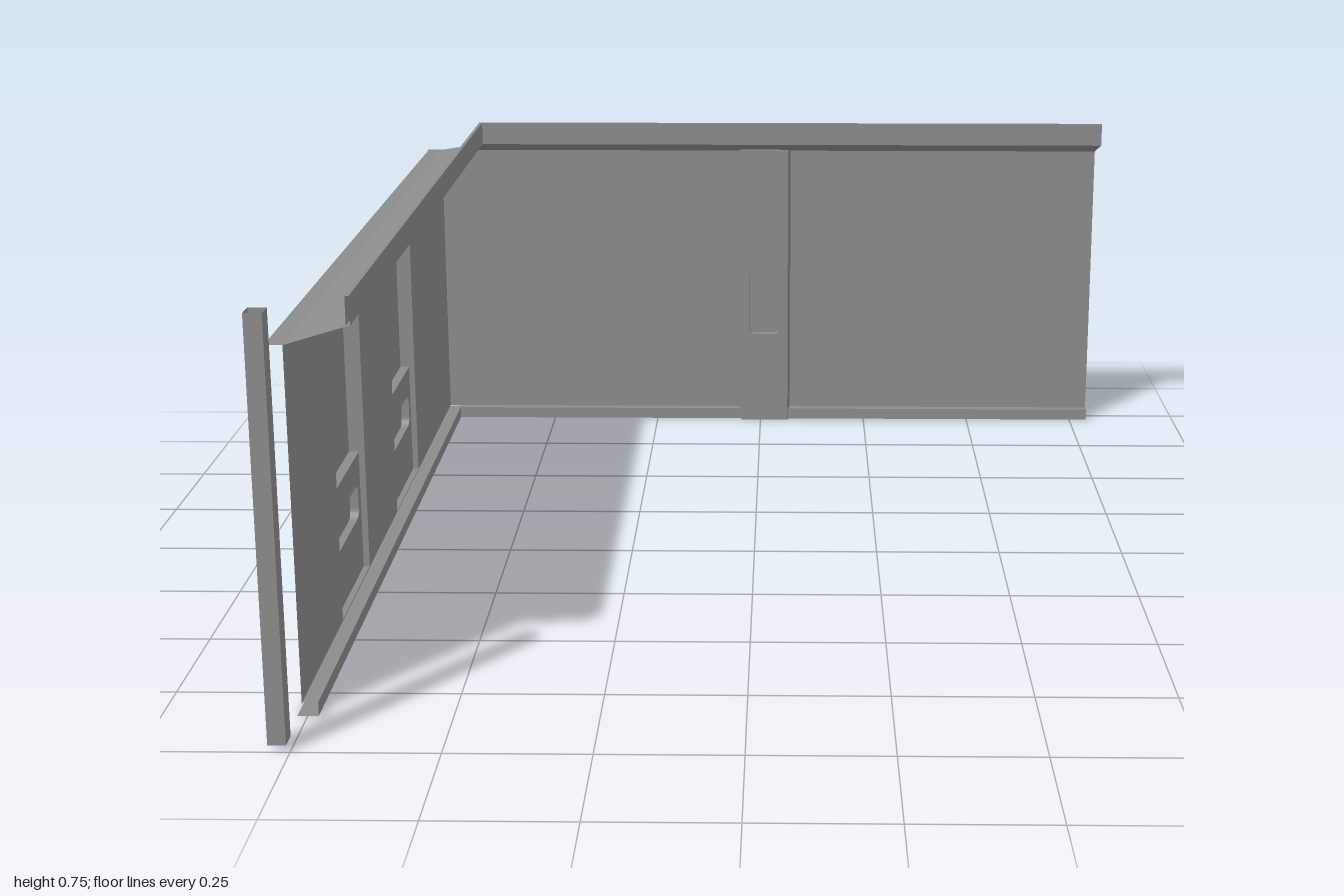
import * as THREE from 'three';

const grey = new THREE.MeshStandardMaterial({ color: 0x8c8c8c, side: THREE.DoubleSide });
grey.name = 'panelGrey';

function add(group, name, geometry) {
  const mesh = new THREE.Mesh(geometry, grey);
  mesh.name = name;
  group.add(mesh);
  return mesh;
}

// Flat-faced sheet stretched between two matching rows of points [u, v, w]
function sheet(group, name, a, b) {
  const pos = [];
  for (let i = 0; i < a.length - 1; i++) {
    pos.push(...a[i], ...b[i], ...b[i + 1], ...a[i], ...b[i + 1], ...a[i + 1]);
  }
  const g = new THREE.BufferGeometry();
  g.setAttribute('position', new THREE.Float32BufferAttribute(pos, 3));
  g.computeVertexNormals();
  return add(group, name, g);
}

// Profile of [v, w] points run along u
function run(group, name, profile, u0, u1) {
  return sheet(group, name, profile.map(([v, w]) => [u0, v, w]), profile.map(([v, w]) => [u1, v, w]));
}

// Rounded rectangle outline; r = 0 gives square corners
function outline(u0, v0, u1, v1, r = 0) {
  const s = new THREE.Shape();
  if (!r) {
    s.moveTo(u0, v0).lineTo(u1, v0).lineTo(u1, v1).lineTo(u0, v1).closePath();
    return s;
  }
  s.absarc(u1 - r, v0 + r, r, -Math.PI / 2, 0);
  s.absarc(u1 - r, v1 - r, r, 0, Math.PI / 2);
  s.absarc(u0 + r, v1 - r, r, Math.PI / 2, Math.PI);
  s.absarc(u0 + r, v0 + r, r, Math.PI, Math.PI * 1.5);
  s.closePath();
  return s;
}

function panel(group, name, shape, w, holes = []) {
  shape.holes.push(...holes);
  return add(group, name, new THREE.ShapeGeometry(shape, 4).translate(0, 0, w));
}

// Side walls of an outline between two depths
function rim(group, name, shape, w0, w1) {
  const p = shape.getPoints(4);
  p.push(p[0].clone());
  sheet(group, name, p.map((q) => [q.x, q.y, w0]), p.map((q) => [q.x, q.y, w1]));
}

// Sunken tray: sides plus back
function pocket(group, name, box, w0, w1) {
  rim(group, name + 'Sides', outline(...box), w0, w1);
  panel(group, name + 'Back', outline(...box), w1);
}

// Sloping cornice with an upright lip, mitred at the corner
function cornice(group, slope0, slope1, lip0, lip1) {
  sheet(group, 'corniceSlope',
    [[slope0, 0.657, 0], [slope1, 0.657, 0]], [[lip0, 0.69, 0.11], [lip1, 0.69, 0.11]]);
  run(group, 'corniceLip', [[0.69, 0.105], [0.69, 0.112], [0.74, 0.112], [0.74, 0.105], [0.69, 0.105]], lip0, lip1);
}

function backWall() {
  const g = new THREE.Group();
  g.name = 'backWall';
  g.position.z = -0.98;
  panel(g, 'wallPanel', outline(-0.79, 0.027, 0.79, 0.657), 0);
  run(g, 'baseRail', [[0.027, 0], [0.027, 0.02], [0.002, 0.02], [0.002, -0.02]], -0.73, 0.79);
  cornice(g, -0.757, 0.79, -0.645, 0.79);

  // Pilaster with slightly tapered sides and a sunken handle
  const handle = [-0.026, 0.215, 0.045, 0.37, 0.012];
  panel(g, 'pilasterFace', outline(-0.045, 0, 0.065, 0.662), 0.025, [outline(...handle)]);
  for (const [a, b] of [[-0.051, -0.045], [0.071, 0.065]]) {
    sheet(g, 'pilasterSide', [[a, 0, 0], [a, 0.662, 0]], [[b, 0, 0.025], [b, 0.662, 0.025]]);
  }
  for (const v of [0, 0.662]) {
    sheet(g, 'pilasterCap', [[-0.051, v, 0], [0.071, v, 0]], [[-0.045, v, 0.025], [0.065, v, 0.025]]);
  }
  pocket(g, 'handlePocket', handle, 0.025, 0.006);
  const latch = outline(-0.01, 0.207, 0.028, 0.216);
  panel(g, 'handleLip', latch, 0.028);
  rim(g, 'handleLipSides', latch, 0.025, 0.028);
  return g;
}

function sideWall() {
  // Local u runs towards the back corner, w points into the room
  const g = new THREE.Group();
  g.name = 'sideWall';
  g.position.x = -0.757;
  g.rotation.y = Math.PI / 2;
  const bays = [[-0.472, -0.18], [0.158, 0.456]];
  const holes = bays.map(([a, b]) => outline(a, 0.029, b, 0.65));
  panel(g, 'wallPanel', outline(-0.86, 0.027, 0.98, 0.657), 0, holes);
  run(g, 'baseRail', [[0.027, 0], [0.027, 0.027], [0.002, 0.027], [0.002, -0.01]], -0.855, 0.975);
  cornice(g, -0.86, 0.98, -0.86, 0.875);
  run(g, 'topFlange', [[0.657, 0], [0.657, -0.031]], -0.86, 0.98);

  // Recessed bays, each with a thicker lower plate and a slot
  for (const [a, b] of bays) {
    pocket(g, 'bayRecess', [a, 0.029, b, 0.65], 0, -0.031);
    const slot = [a + 0.04, 0.137, b - 0.024, 0.215, 0.02];
    panel(g, 'lowerPlate', outline(a, 0.029, b, 0.265), -0.012, [outline(...slot)]);
    run(g, 'lowerPlateLedge', [[0.265, -0.012], [0.265, -0.031]], a, b);
    pocket(g, 'slot', slot, -0.012, -0.029);
    panel(g, 'slotRim', outline(...slot), -0.011,
      [outline(slot[0] + 0.006, 0.143, slot[2] - 0.006, 0.209, 0.015)]);
  }

  // Narrow return at the outer corner
  sheet(g, 'cornerReturn',
    [[0.955, 0.027, 0], [0.955, 0.027, -0.031], [0.98, 0.027, -0.031]],
    [[0.955, 0.657, 0], [0.955, 0.657, -0.031], [0.98, 0.657, -0.031]]);
  return g;
}

export function createModel() {
  const model = new THREE.Group();
  model.name = 'cornerWalls';
  model.add(backWall(), sideWall());

  // Free-standing hollow end post, open at top and bottom
  const ring = [[-0.787, 0.962], [-0.756, 0.962], [-0.756, 1], [-0.787, 1], [-0.787, 0.962]];
  sheet(model, 'endPost', ring.map(([x, z]) => [x, 0.012, z]), ring.map(([x, z]) => [x, 0.745, z]));
  return model;
}
